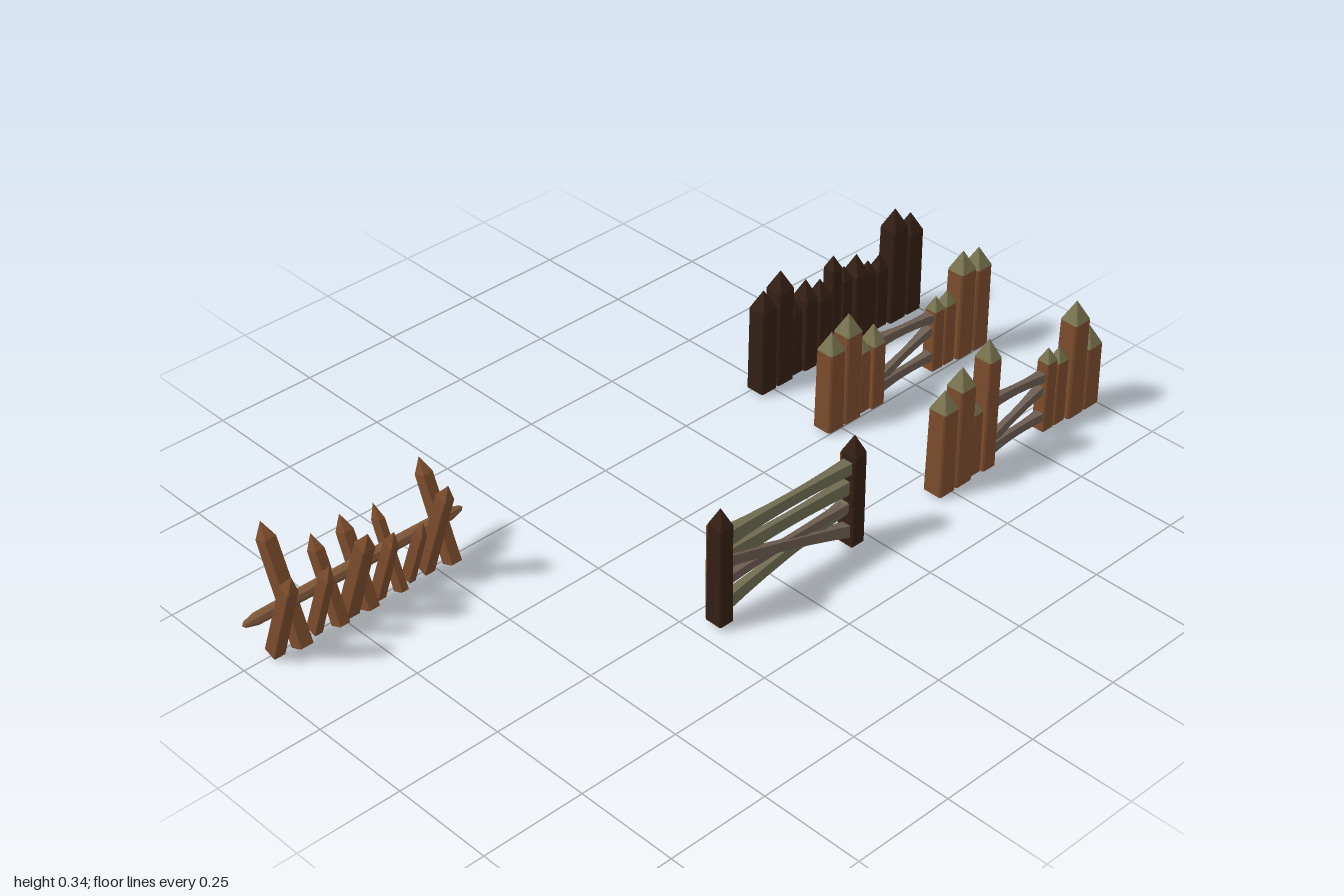
import * as THREE from 'three';

const mat = (color) => new THREE.MeshStandardMaterial({ color, flatShading: true });
const brown = mat(0x7a4c2c), dark = mat(0x331f14), moss = mat(0x78734f);
const olive = mat(0x6e6b50), grey = mat(0x6b5c50), log = mat(0x80583a);

function add(parent, name, geometry, material) {
  const mesh = new THREE.Mesh(geometry, material);
  mesh.name = name;
  parent.add(mesh);
  return mesh;
}

// Square prism with chamfered corners; ratio scales the top ring.
function chamferedPrism(w, d, h, ratio, y) {
  const g = new THREE.CylinderGeometry(1, 1, h, 8, 1, false, Math.PI / 8);
  const p = g.attributes.position;
  const c = Math.min(w, d) * 0.08;
  for (let i = 0; i < p.count; i++) {
    const x = p.getX(i), z = p.getZ(i), s = p.getY(i) > 0 ? ratio : 1;
    const snap = (v, half) => Math.abs(v) < 0.01 ? 0 : Math.sign(v) * (Math.abs(v) > 0.7 ? half : half - c) * s;
    p.setX(i, snap(x, w / 2));
    p.setZ(i, snap(z, d / 2));
  }
  g.translate(0, y + h / 2, 0);
  g.computeVertexNormals();
  return g;
}

// Upright timber with a pyramid point; h is the full height.
function stake(name, w, d, h, bodyMat, tipMat, tip = Math.max(w, d) * 0.9) {
  const group = new THREE.Group();
  group.name = name;
  const taper = 0.93;
  add(group, 'shaft', chamferedPrism(w, d, h - tip, taper, 0), bodyMat);
  add(group, 'point', chamferedPrism(w * taper, d * taper, tip, 0.02, h - tip), tipMat);
  return group;
}

// Plank between two points, thinner in the middle than at its ends.
function plank(parent, a, b, z, h0, h1, depth, material) {
  const dx = b[0] - a[0], dy = b[1] - a[1], n = Math.hypot(dx, dy);
  const g = new THREE.BoxGeometry(n, 1, depth, 6, 1, 1);
  const p = g.attributes.position;
  for (let i = 0; i < p.count; i++) {
    const t = p.getX(i) / n + 0.5;
    const waist = 0.55 + 0.45 * (2 * t - 1) ** 2;
    p.setY(i, p.getY(i) * (h0 + (h1 - h0) * t) * (0.6 + 0.4 * waist));
    p.setZ(i, p.getZ(i) * waist);
  }
  const mesh = add(parent, 'plank', g, material);
  mesh.position.set((a[0] + b[0]) / 2, (a[1] + b[1]) / 2, z);
  mesh.rotation.z = Math.atan2(dy, dx);
}

// Row of pointed posts: each entry is [x, width, height].
function palisade(name, z, posts, bodyMat, tipMat) {
  const group = new THREE.Group();
  group.name = name;
  for (const [x, w, h] of posts) {
    const s = stake('post', w, w < 0.04 ? 0.036 : 0.052, h - 0.006, bodyMat, tipMat);
    s.position.set(x, 0.006, z);
    group.add(s);
  }
  return group;
}

export function createModel() {
  const root = new THREE.Group();
  root.name = 'palisadeSet';

  // Shared post spacing: four posts either side of an opening
  const left = [[0.48, 0.05], [0.534, 0.052], [0.58, 0.034], [0.618, 0.042]];
  const middle = [[0.666, 0.046], [0.709, 0.034], [0.746, 0.034], [0.788, 0.044]];
  const right = [[0.829, 0.036], [0.868, 0.038], [0.917, 0.054], [0.972, 0.052]];
  const withHeights = (spots, hs) => spots.map(([x, w], i) => [x, w, hs[i]]);
  const sides = [...left, ...right];

  root.add(palisade('frontWall', 0.317,
    withHeights(sides, [0.27, 0.305, 0.2, 0.34, 0.22, 0.205, 0.305, 0.215]), brown, moss));
  root.add(palisade('middleWall', -0.021,
    withHeights(sides, [0.26, 0.285, 0.2, 0.22, 0.2, 0.2, 0.285, 0.272]), brown, moss));
  root.add(palisade('backWall', -0.236,
    withHeights([...left, ...middle, ...right],
      [0.27, 0.3, 0.2, 0.24, 0.22, 0.265, 0.22, 0.235, 0.2, 0.2, 0.305, 0.272]), dark, dark));

  // Planks closing the wall openings
  for (const z of [0.317, -0.021]) {
    const bars = new THREE.Group();
    bars.name = 'openingPlanks';
    plank(bars, [0.635, 0.165], [0.815, 0.15], z, 0.028, 0.022, 0.024, grey);
    plank(bars, [0.635, 0.05], [0.815, 0.115], z - 0.003, 0.026, 0.022, 0.024, grey);
    plank(bars, [0.635, 0.04], [0.815, 0.045], z + 0.003, 0.03, 0.022, 0.024, grey);
    root.add(bars);
  }

  // Plank fence between two dark posts
  const fence = new THREE.Group();
  fence.name = 'plankFence';
  for (const [x, h] of [[-0.195, 0.3], [0.2, 0.288]]) {
    const s = stake('fencePost', 0.04, 0.046, h - 0.012, dark, dark, 0.042);
    s.position.set(x, 0.012, 0.313);
    fence.add(s);
    const face = add(fence, 'paleBackFace', new THREE.BoxGeometry(0.034, h - 0.06, 0.004), brown);
    face.position.set(x, 0.012 + (h - 0.06) / 2, 0.2905);
  }
  plank(fence, [-0.18, 0.22], [0.185, 0.215], 0.313, 0.038, 0.03, 0.026, olive);
  plank(fence, [-0.18, 0.168], [0.185, 0.162], 0.31, 0.04, 0.034, 0.024, olive);
  plank(fence, [-0.18, 0.165], [0.185, 0.05], 0.317, 0.026, 0.03, 0.024, grey);
  plank(fence, [-0.18, 0.045], [0.185, 0.11], 0.308, 0.036, 0.028, 0.024, olive);
  plank(fence, [-0.18, 0.11], [0.185, 0.112], 0.312, 0.024, 0.02, 0.022, grey);
  root.add(fence);

  // Barricade: leaning stakes crossed over a log; [x, width, top height, lean side]
  const barricade = new THREE.Group();
  barricade.name = 'spikedBarricade';
  const spikes = [
    [-0.92, 0.03, 0.245, 1], [-0.868, 0.035, 0.268, -1], [-0.818, 0.022, 0.213, 1],
    [-0.768, 0.028, 0.2, -1], [-0.728, 0.034, 0.255, 1], [-0.69, 0.03, 0.207, -1],
    [-0.65, 0.022, 0.21, 1], [-0.606, 0.02, 0.195, -1], [-0.567, 0.018, 0.186, 1],
    [-0.52, 0.028, 0.273, 1], [-0.466, 0.03, 0.235, -1],
  ];
  for (const [x, w, h, side] of spikes) {
    const lean = side > 0 ? 0.34 : 0.39;
    const s = stake('spike', w, 0.022 + w * 0.45, (h - 0.007) / Math.cos(lean), brown, brown, 0.037);
    s.position.set(x, 0.007, side > 0 ? -0.25 : -0.226);
    s.rotation.x = side * lean;
    barricade.add(s);
  }
  const profile = [[0, -0.29], [0.007, -0.283], [0.014, -0.255], [0.016, 0], [0.014, 0.255], [0.007, 0.283], [0, 0.29]]
    .map(([r, y]) => new THREE.Vector2(r, y));
  const rail = add(barricade, 'crossLog', new THREE.LatheGeometry(profile, 8), log);
  rail.rotation.z = -Math.PI / 2;
  rail.position.set(-0.71, 0.123, -0.239);
  root.add(barricade);

  return root;
}
